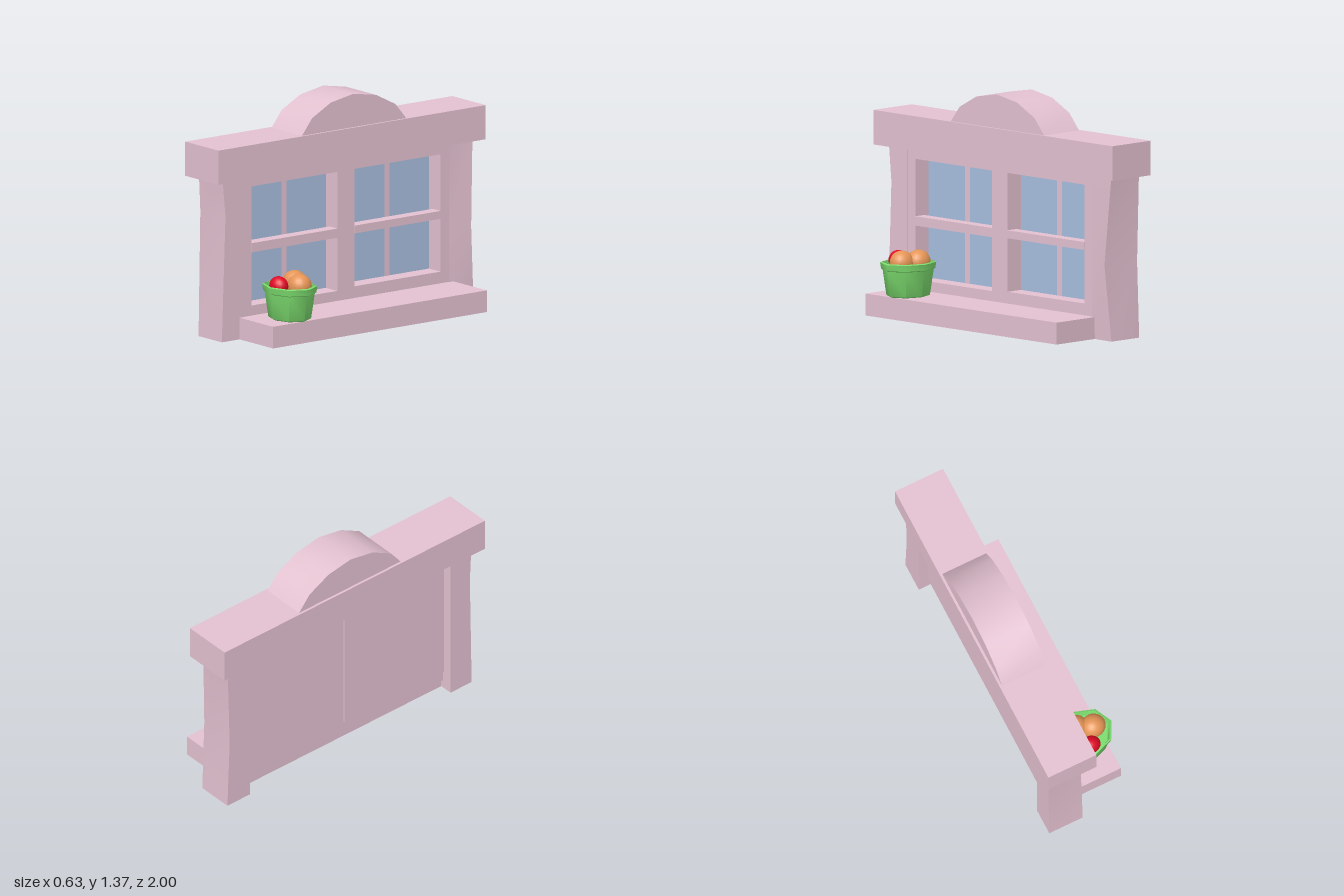
import * as THREE from 'three';
import { toCreasedNormals } from 'three/addons/utils/BufferGeometryUtils.js';

export function createModel() {
  const root = new THREE.Group();
  const mat = (name, color, side = THREE.FrontSide) => {
    const m = new THREE.MeshStandardMaterial({ color, side });
    m.name = name;
    return m;
  };
  const pink = mat('pinkStone', 0xe3c1d0);
  const blue = mat('blueGlass', 0xa8bedf);
  const green = mat('greenPot', 0x7cdb6e, THREE.DoubleSide);
  const orange = mat('orangeFruit', 0xe59556);
  const red = mat('redFruit', 0xe00a26);

  const add = (name, geo, material) => {
    const mesh = new THREE.Mesh(geo, material);
    mesh.name = name;
    root.add(mesh);
    return mesh;
  };
  // Box given by its limits on each axis
  const box = (name, [x0, x1], [y0, y1], [z0, z1], material = pink) =>
    add(name, new THREE.BoxGeometry(x1 - x0, y1 - y0, z1 - z0), material)
      .position.set((x0 + x1) / 2, (y0 + y1) / 2, (z0 + z1) / 2);
  // Shape drawn in (z, y) and extruded along x
  const outline = (pts) => pts.map(([z, y]) => new THREE.Vector2(-z, y));
  const extrudeX = (shape, x0, x1) =>
    new THREE.ExtrudeGeometry(shape, { depth: x1 - x0, bevelEnabled: false })
      .rotateY(Math.PI / 2).translate(x0, 0, 0);

  // Lintel and sill
  box('lintel', [-0.315, 0], [0.965, 1.17], [-1, 1]);
  box('sill', [-0.19, 0.262], [0, 0.13], [-0.8, 0.8]);

  // Arched crest
  const crest = new THREE.Shape(outline([[0.365, 1.17], [0.29, 1.265], [0.15, 1.34],
    [-0.02, 1.37], [-0.19, 1.34], [-0.335, 1.265], [-0.415, 1.17]]));
  add('archedCrest', toCreasedNormals(extrudeX(crest, -0.3, -0.013), 0.7), pink);

  // Bent side posts: a box whose corners are moved at three heights
  const post = (name, side, midY, outerZ, outerX, innerX) => {
    const geo = new THREE.BoxGeometry(2, 2, 2, 1, 2, 1).toNonIndexed();
    const p = geo.attributes.position;
    for (let i = 0; i < p.count; i++) {
      const front = p.getX(i) > 0;
      const isOuter = p.getZ(i) * side > 0;
      const level = Math.round(p.getY(i)) + 1;
      const x = !front ? -0.275 : (isOuter ? outerX : innerX)[level];
      const y = [0, midY, 0.965][level];
      const z = isOuter ? (front ? outerZ[level] : (outerZ[0] + outerZ[level]) / 2) : 0.77;
      p.setXYZ(i, x, y, z * side);
    }
    add(name, toCreasedNormals(geo, 0.5), pink);
  };
  post('leftPost', 1, 0.75, [0.932, 0.905, 0.925], [-0.055, -0.055, -0.055], [-0.055, -0.055, -0.055]);
  post('rightPost', -1, 0.45, [0.945, 0.91, 0.94], [-0.047, -0.024, -0.05], [-0.055, -0.055, -0.055]);

  // Window frame with two openings
  const windows = [
    { z: [0.065, 0.707], y: [0.19, 0.905], bar: [0.51, 0.565], mullion: 0.379 },
    { z: [-0.707, -0.065], y: [0.2, 0.905], bar: [0.518, 0.565], mullion: -0.391 },
  ];
  const rect = ([z0, z1], [y0, y1]) => outline([[z0, y0], [z0, y1], [z1, y1], [z1, y0]]);
  const frame = new THREE.Shape(rect([-0.78, 0.78], [0.05, 0.966]));
  for (const w of windows) frame.holes.push(new THREE.Path(rect(w.z, w.y)));
  add('windowFrame', extrudeX(frame, -0.205, -0.058), pink);

  // Glass, bars and backing panel of each window
  for (const w of windows) {
    box('glass', [-0.174, -0.166], w.y, w.z, blue);
    box('verticalBar', [-0.17, -0.164], w.y, [w.mullion - 0.019, w.mullion + 0.019]);
    box('crossBar', [-0.13, -0.055], w.bar, w.z);
    box('backPanel', [-0.215, -0.203], [0.12, 0.966], w.mullion > 0 ? [0.006, 0.775] : [-0.775, -0.006]);
  }

  // Eight-sided flower pot with a thin rim, slightly oval
  const potProfile = [[0, 0.13], [0.132, 0.13], [0.14, 0.136], [0.164, 0.287], [0.174, 0.292],
    [0.18, 0.328], [0.168, 0.333], [0.155, 0.295], [0, 0.29]].map(([r, y]) => new THREE.Vector2(r, y));
  const pot = toCreasedNormals(new THREE.LatheGeometry(potProfile, 8), 0.9);
  pot.scale(1, 1, 0.83);
  add('pot', pot, green).position.set(0.133, 0, 0.573);

  // Round fruit in the pot
  const fruit = (name, material, pos, scale) => {
    const m = add(name, new THREE.SphereGeometry(1, 20, 14), material);
    m.position.set(...pos);
    m.scale.set(...scale);
  };
  fruit('orangeFruitBack', orange, [0.106, 0.332, 0.515], [0.075, 0.073, 0.07]);
  fruit('orangeFruitFront', orange, [0.203, 0.332, 0.555], [0.075, 0.073, 0.07]);
  fruit('redFruit', red, [0.133, 0.333, 0.655], [0.064, 0.058, 0.052]);

  return root;
}
